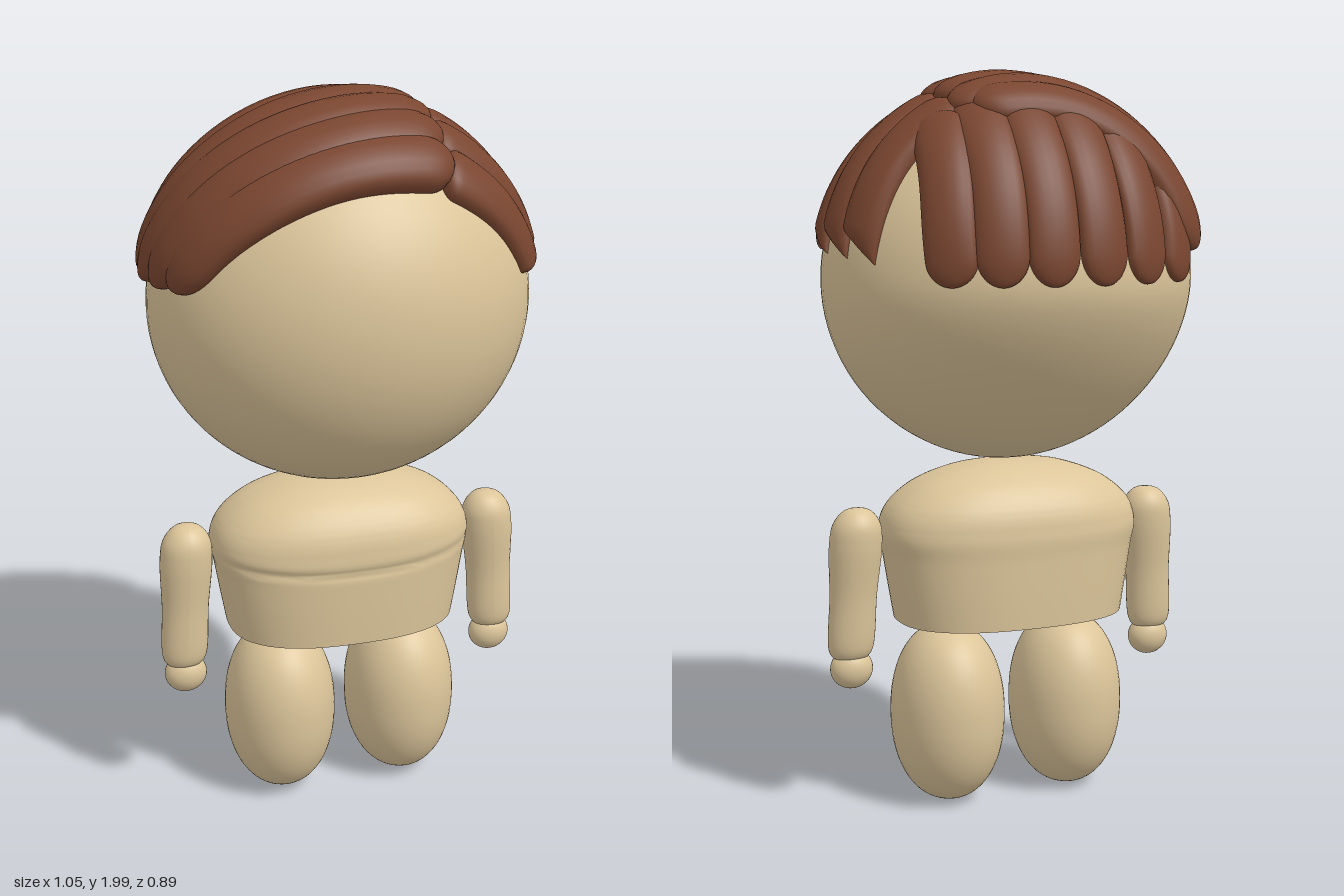
import * as THREE from 'three';
import { toCreasedNormals } from 'three/addons/utils/BufferGeometryUtils.js';

const skin = new THREE.MeshStandardMaterial({ color: 0xdcc59a });
const brown = new THREE.MeshStandardMaterial({ color: 0x7a4630 });
const C = new THREE.Vector3(0, 1.44, 0.003);   // head centre
const R = new THREE.Vector3(0.51, 0.49, 0.435); // head radii

function add(group, name, geometry, material = skin) {
  const mesh = new THREE.Mesh(geometry, material);
  mesh.name = name;
  group.add(mesh);
  return mesh;
}

// Move every vertex of a geometry by a rule
function warp(geometry, rule) {
  const pos = geometry.attributes.position, v = new THREE.Vector3();
  for (let i = 0; i < pos.count; i++) {
    rule(v.fromBufferAttribute(pos, i));
    pos.setXYZ(i, v.x, v.y, v.z);
  }
  return geometry;
}

const smoothLathe = (pts, rows, sides) => {
  const curve = new THREE.CatmullRomCurve3(pts.map(([x, y]) => new THREE.Vector3(x, y, 0)), false, 'centripetal');
  return new THREE.LatheGeometry(curve.getSpacedPoints(rows).map(p => new THREE.Vector2(Math.max(p.x, 0), p.y)), sides);
};

// Point on the upper half of the head, or a free point given as [x, y, z]
function headPoint(p) {
  if (p.length === 3) return new THREE.Vector3(...p);
  const [x, z] = p;
  const k = 1 - (x / R.x) ** 2 - ((z - C.z) / R.z) ** 2;
  return new THREE.Vector3(x, C.y + R.y * Math.sqrt(Math.max(k, 0)), z);
}

// Drop a point onto the head and raise it by h along the surface normal
function onHead(p, h) {
  const q = p.clone().sub(C);
  q.divideScalar(q.clone().divide(R).length());
  const n = q.clone().divide(R).divide(R).normalize();
  return { point: q.add(C).addScaledVector(n, h), normal: n };
}

const roundEnd = d => Math.sqrt(Math.max(0, 1 - (1 - Math.min(d, 1)) ** 2));

// Lock of hair: a padded strip that follows the head along a path.
// w and t are [start, end] half width and thickness; point skews a sharp tip.
function lockGeometry(path, { w, t, lift = 0, point = 0 }) {
  const curve = new THREE.CatmullRomCurve3(path.map(headPoint), false, 'centripetal');
  const rings = 44, sides = 20, verts = [], index = [];
  for (let i = 0; i <= rings; i++) {
    const s = (1 - Math.cos(Math.PI * i / rings)) / 2;
    const p = curve.getPointAt(s), { normal } = onHead(p, 0);
    const side = curve.getTangentAt(s).cross(normal).normalize();
    const tip = point ? Math.min(1, (1 - s) / 0.16) : roundEnd((1 - s) / 0.14);
    const f = Math.max(0.02, roundEnd(s / 0.1) * tip);
    const width = THREE.MathUtils.lerp(w[0], w[1], s);
    const thick = THREE.MathUtils.lerp(t[0], t[1], s) * Math.max(0.05, Math.sqrt(f));
    for (let j = 0; j < sides; j++) {
      const a = j / sides * Math.PI * 2, sn = Math.sin(a);
      const across = width * (f * Math.cos(a) + point * (1 - tip));
      const h = lift + Math.sign(sn) * Math.abs(sn) ** 0.75 * thick;
      verts.push(...onHead(p.clone().addScaledVector(side, across), h).point.toArray());
      if (i < rings) {
        const A = i * sides + j, B = i * sides + (j + 1) % sides;
        index.push(A, A + sides, B, B, A + sides, B + sides);
      }
    }
  }
  const g = new THREE.BufferGeometry();
  g.setAttribute('position', new THREE.Float32BufferAttribute(verts, 3));
  g.setIndex(index);
  g.computeVertexNormals();
  return g;
}

function buildHair() {
  const hair = new THREE.Group();
  hair.name = 'hair';
  const lock = (name, path, opts) => add(hair, name, lockGeometry(path, opts), brown);

  // Locks combed from the parting over to the right: z at start, middle, three quarters, tip, tip height
  [
    [-0.14, -0.09, -0.10, -0.19, 1.53],
    [-0.05, 0.01, 0.0, -0.10, 1.52],
    [0.05, 0.11, 0.085, -0.01, 1.52],
    [0.14, 0.195, 0.165, 0.08, 1.53],
    [0.225, 0.265, 0.23, 0.165, 1.545],
  ].forEach(([a, b, c, d, y]) => lock('sweptLock',
    [[0.21, a], [-0.08, b], [-0.34, c], [-0.485, y, d]],
    { w: [0.078, 0.07], t: [0.062, 0.036], lift: 0.006 }));

  // Broad lock crossing the crown towards the back
  lock('crownLock', [[0.17, -0.165], [-0.1, -0.195], [-0.3, -0.225], [-0.43, 1.52, -0.25]],
    { w: [0.075, 0.085], t: [0.06, 0.04], lift: 0.01 });

  // Pointed locks on the left side
  [
    [0.235, 0.215, 0.175],
    [0.125, 0.11, 0.065],
    [0.02, 0.0, -0.05],
    [-0.1, -0.12, -0.16],
  ].forEach(([a, b, c]) => lock('sideLock', [[0.19, a], [0.36, b], [0.495, 1.5, c]],
    { w: [0.08, 0.062], t: [0.05, 0.03], point: -1 }));

  // Locks hanging down the back
  [0.28, 0.17, 0.05, -0.08, -0.21, -0.33].forEach(x => {
    const z = y => C.z - R.z * Math.sqrt(1 - (x / R.x) ** 2 - ((y - C.y) / R.y) ** 2);
    lock('backLock', [[x * 0.85, -0.13], [x, 1.7, z(1.7)], [x * 1.05, 1.44, z(1.44)]],
      { w: [0.075, 0.065], t: [0.05, 0.024] });
  });
  return hair;
}

function buildArm(side) {
  const arm = new THREE.Group();
  arm.name = side > 0 ? 'leftArm' : 'rightArm';
  // Sleeve-like limb, thinner from front to back at the wrist
  const limb = smoothLathe([[0, 0.42], [0.045, 0.425], [0.06, 0.445], [0.065, 0.6], [0.072, 0.74],
    [0.064, 0.795], [0.035, 0.83], [0, 0.838]], 40, 32);
  warp(limb, v => {
    const k = (v.y - 0.42) / 0.42;
    v.x = side * (0.453 - 0.022 * k) + v.x;
    v.z = v.z * (0.72 + 0.23 * k) + 0.025 - 0.012 * k;
  });
  limb.computeVertexNormals();
  add(arm, 'limb', limb);
  const hand = add(arm, 'hand', new THREE.SphereGeometry(1, 32, 20));
  hand.scale.set(0.059, 0.055, 0.046);
  hand.position.set(side * 0.45, 0.394, 0.025);
  return arm;
}

export function createModel() {
  const model = new THREE.Group();
  model.name = 'figure';

  // Head: an ellipsoid drawn in at the nape
  const head = warp(new THREE.SphereGeometry(1, 72, 48), v => {
    const d = Math.max(0, -v.y);
    if (v.z < 0) v.z *= 1 - 0.44 * d * d / (d + 0.2);
    v.multiply(R).add(C);
  });
  head.computeVertexNormals();
  add(model, 'head', head);
  model.add(buildHair());

  // Torso: squared-off dome with a flat base and a shallow chest fold
  const squareOff = v => {
    const r = Math.hypot(v.x, v.z);
    if (r > 1e-6) {
      const k = (Math.abs(v.x / r) ** 2.5 + Math.abs(v.z / r) ** 2.5) ** (-1 / 2.5);
      v.x *= k;
      v.z *= k;
    }
    v.z *= THREE.MathUtils.lerp(0.665, 0.59, Math.min(1, (v.y - 0.515) / 0.26));
    if (v.z > 0) v.z -= 0.007 * Math.exp(-(((v.y - 0.725 - 0.2 * v.x * v.x) / 0.012) ** 2));
    v.z += 0.005;
  };
  const torso = smoothLathe([[0.32, 0.515], [0.335, 0.6], [0.352, 0.7], [0.364, 0.765], [0.345, 0.825],
    [0.28, 0.885], [0.17, 0.93], [0.07, 0.946], [0, 0.948]], 80, 64);
  add(model, 'torso', toCreasedNormals(warp(torso, squareOff), 0.9));
  const base = new THREE.LatheGeometry([new THREE.Vector2(0, 0.515), new THREE.Vector2(0.32, 0.515)], 64);
  warp(base, squareOff).computeVertexNormals();
  add(model, 'torsoBase', base);

  for (const side of [1, -1]) {
    model.add(buildArm(side));

    // Legs: slightly boxy upright eggs
    const profile = [];
    for (let i = 0; i <= 40; i++) {
      const a = -Math.PI / 2 + Math.PI * i / 40;
      profile.push(new THREE.Vector2(Math.max(0, Math.cos(a)) ** 0.9, Math.sign(a) * Math.abs(Math.sin(a)) ** 0.92));
    }
    const leg = add(model, side > 0 ? 'leftLeg' : 'rightLeg', new THREE.LatheGeometry(profile, 48));
    leg.scale.set(0.156, 0.248, 0.177);
    leg.position.set(side * 0.178, 0.248, 0.012);
  }
  return model;
}
